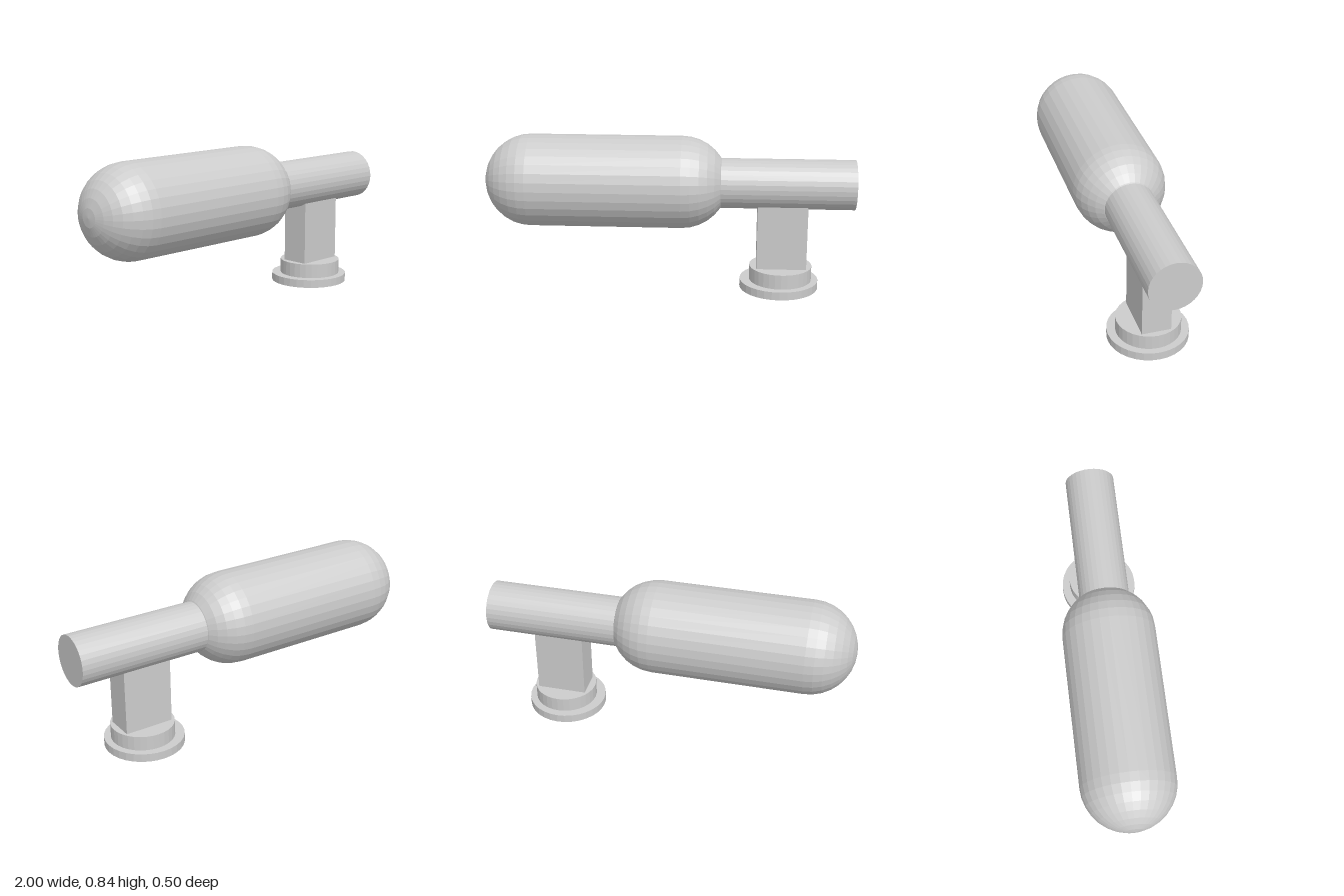
import * as THREE from 'three';

export function createModel() {
  const group = new THREE.Group();
  const material = new THREE.MeshStandardMaterial({ color: 0xcccccc, flatShading: true });
  const add = (name, geometry, x, y) => {
    const mesh = new THREE.Mesh(geometry, material);
    mesh.name = name;
    mesh.position.set(x, y, 0);
    group.add(mesh);
    return mesh;
  };
  const axisY = 0.588; // height of the horizontal axis
  const standX = 0.61; // centre of the stand

  // Long rounded body lying along x
  const body = add('body', new THREE.CapsuleGeometry(0.25, 0.82, 8, 32), -0.34, axisY + 0.002);
  body.rotation.z = Math.PI / 2;

  // Narrow neck, its inner end buried in the rounded body
  const neck = add('neck', new THREE.CylinderGeometry(0.135, 0.135, 0.78, 32), 0.61, axisY);
  neck.rotation.z = Math.PI / 2;

  // Flat post from the stepped base up into the neck
  add('post', new THREE.BoxGeometry(0.27, 0.45, 0.156), standX + 0.005, 0.325);

  // Stepped round base
  add('baseStep', new THREE.CylinderGeometry(0.171, 0.171, 0.08, 32), standX + 0.003, 0.085);
  add('basePlate', new THREE.CylinderGeometry(0.215, 0.215, 0.045, 32), standX - 0.005, 0.0225);

  return group;
}
